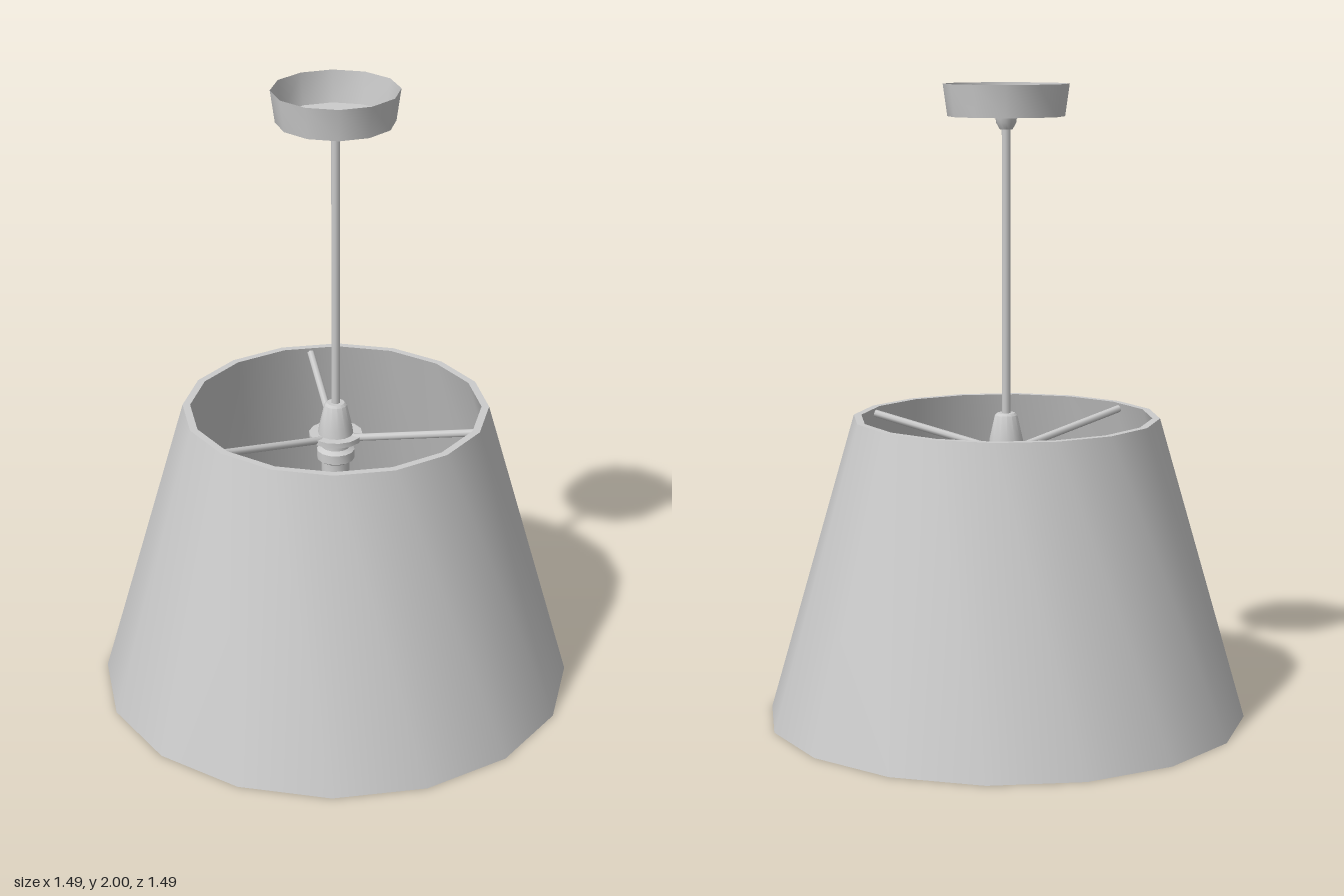
import * as THREE from 'three';
import { toCreasedNormals } from 'three/addons/utils/BufferGeometryUtils.js';

const grey = new THREE.MeshStandardMaterial({ color: 0xcccccc });
const greyThin = new THREE.MeshStandardMaterial({ color: 0xcccccc, side: THREE.DoubleSide });

// Turned part: [radius, height] profile, drawn upwards on the outside
function turned(name, profile, sides, phase = 0, material = grey) {
  const points = profile.map(([r, y]) => new THREE.Vector2(r, y));
  const geometry = new THREE.LatheGeometry(points, sides, phase, Math.PI * 2);
  const mesh = new THREE.Mesh(toCreasedNormals(geometry, 0.7), material);
  mesh.name = name;
  return mesh;
}

// Straight round bar between two points
function bar(name, from, to, radius, sides) {
  const direction = to.clone().sub(from);
  const geometry = new THREE.CylinderGeometry(radius, radius, direction.length(), sides);
  const mesh = new THREE.Mesh(geometry, grey);
  mesh.position.copy(from).add(to).multiplyScalar(0.5);
  mesh.quaternion.setFromUnitVectors(new THREE.Vector3(0, 1, 0), direction.normalize());
  mesh.name = name;
  return mesh;
}

export function createModel() {
  const lamp = new THREE.Group();
  lamp.name = 'pendantLamp';

  // Tapered shade with wall thickness, open at both ends
  lamp.add(turned('shade', [
    [0.76, 0], [0.484, 0.96], [0.46, 0.96], [0.733, 0], [0.76, 0],
  ], 16, Math.PI / 16));

  // Thin ceiling cup, open above, with a small cord collar below
  lamp.add(turned('ceilingCup', [
    [0.014, 1.86], [0.02, 1.86], [0.031, 1.88], [0.034, 1.9], [0.182, 1.9], [0.196, 2],
  ], 12, 0, greyThin));

  // Cord from the cup to the lamp holder
  lamp.add(bar('cord', new THREE.Vector3(0, 0.95, 0), new THREE.Vector3(0, 1.88, 0), 0.014, 10));

  // Lamp holder: socket, ring, flange and tapered cap
  lamp.add(turned('lampHolder', [
    [0, 0.72], [0.045, 0.72], [0.045, 0.77], [0.06, 0.78], [0.06, 0.81], [0.045, 0.82],
    [0.045, 0.85], [0.085, 0.85], [0.085, 0.867], [0.056, 0.867], [0.053, 0.89],
    [0.036, 0.965], [0.028, 0.972], [0, 0.972],
  ], 14));

  // Three arms rising from the flange to the shade
  const arms = new THREE.Group();
  arms.name = 'shadeArms';
  for (let i = 0; i < 3; i++) {
    const a = THREE.MathUtils.degToRad(52.5 + 120 * i);
    const at = (r, y) => new THREE.Vector3(Math.cos(a) * r, y, Math.sin(a) * r);
    arms.add(bar('shadeArm', at(0.06, 0.858), at(0.465, 0.942), 0.012, 8));
  }
  lamp.add(arms);

  return lamp;
}
